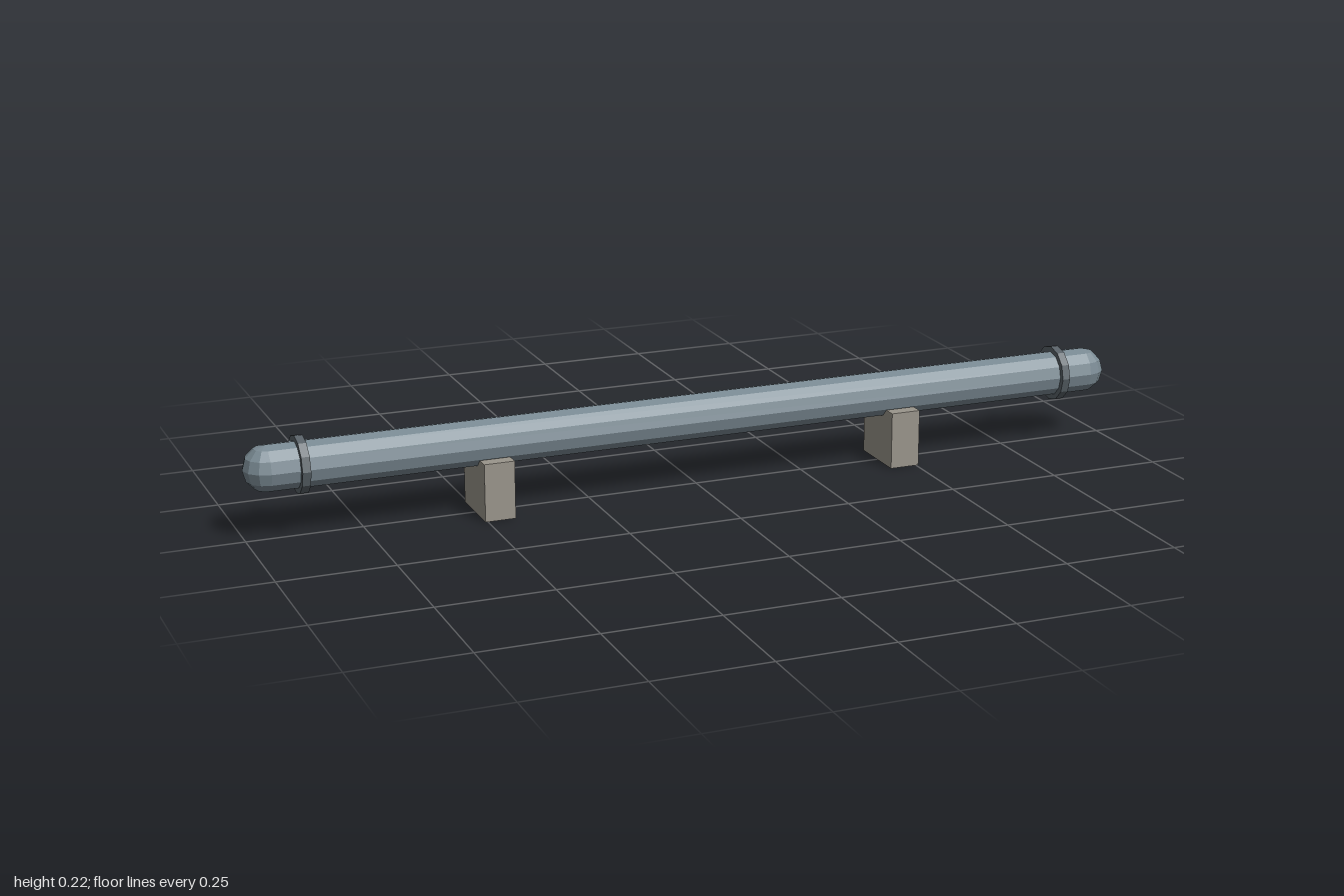
import * as THREE from 'three';

const AXIS_Y = 0.154;

export function createModel() {
  const group = new THREE.Group();
  const pipeMat = new THREE.MeshStandardMaterial({ name: 'blueGreySteel', color: 0x7a8a93, flatShading: true });
  const flangeMat = new THREE.MeshStandardMaterial({ name: 'darkSteel', color: 0x596268, flatShading: true });
  const supportMat = new THREE.MeshStandardMaterial({ name: 'concrete', color: 0x9a958b, flatShading: true });

  const add = (name, geometry, material, x, y) => {
    const mesh = new THREE.Mesh(geometry, material);
    mesh.name = name;
    mesh.position.set(x, y, 0);
    group.add(mesh);
  };

  // Twelve-sided cylinder lying along x
  const rod = (radius, length) =>
    new THREE.CylinderGeometry(radius, radius, length, 12).rotateZ(Math.PI / 2);

  add('pipe', rod(0.05, 1.9), pipeMat, 0, AXIS_Y);

  // Round cap, flange ring and support block at each end
  for (const [side, s] of [['left', 1], ['right', -1]]) {
    add(side + 'EndCap', new THREE.SphereGeometry(0.05, 12, 6), pipeMat, s * 0.95, AXIS_Y);
    add(side + 'Flange', rod(0.062, 0.018), flangeMat, s * 0.88, AXIS_Y);
    add(side + 'Support', new THREE.BoxGeometry(0.067, 0.127, 0.142), supportMat, s * 0.472, 0.0635);
  }
  return group;
}
